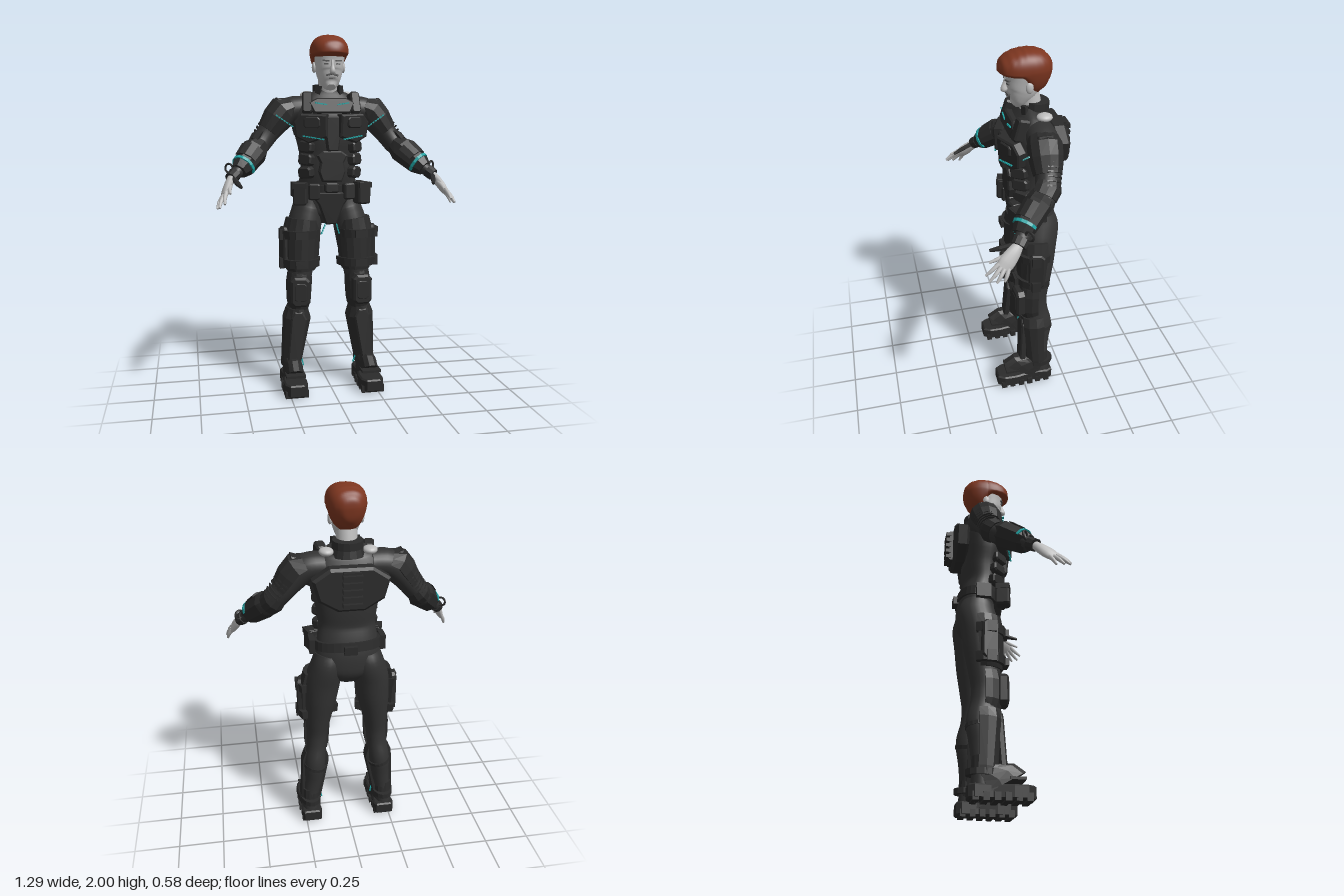
import * as THREE from 'three';
import { mergeGeometries } from 'three/addons/utils/BufferGeometryUtils.js';

const V = (x, y, z) => new THREE.Vector3(x, y, z);
const paint = (name, color) => Object.assign(new THREE.MeshStandardMaterial({ color }), { name });

// Sweep of elliptical sections [x, y, z, sideRadius, frontRadius]; angle 90 faces the front.
// An arc below 360 degrees makes a shell that closes inside the limb.
function loft(stations, { n = 24, p = 2, from = 0, to = 360, smooth = true, steps = 4 } = {}) {
  let st = stations;
  if (smooth) {
    const c = new THREE.CatmullRomCurve3(st.map(s => V(s[0], s[1], s[2])));
    const r = new THREE.CatmullRomCurve3(st.map(s => V(s[3], s[4], 0)));
    const m = (st.length - 1) * steps;
    st = Array.from({ length: m + 1 }, (_, i) => {
      const a = c.getPoint(i / m), b = r.getPoint(i / m);
      return [a.x, a.y, a.z, b.x, b.y];
    });
  }
  const pts = st.map(s => V(s[0], s[1], s[2])), full = to - from >= 360;
  const k = full ? n : n + 1, pos = [], idx = [];
  const pw = v => Math.sign(v) * Math.abs(v) ** (2 / p);
  const rings = st.map((s, i) => {
    const t = pts[Math.min(i + 1, pts.length - 1)].clone().sub(pts[Math.max(i - 1, 0)]).normalize();
    const u = t.clone().cross(V(0, 0, 1)).normalize(), v = u.clone().cross(t);
    return Array.from({ length: k }, (_, j) => {
      const a = THREE.MathUtils.degToRad(from + (to - from) * j / n);
      return pts[i].clone().addScaledVector(u, s[3] * pw(Math.cos(a))).addScaledVector(v, s[4] * pw(Math.sin(a)));
    });
  });
  rings.flat().forEach(q => pos.push(q.x, q.y, q.z));
  for (let i = 0; i < rings.length - 1; i++) for (let j = 0; j < k; j++) {
    const a = i * k + j, b = i * k + (j + 1) % k;
    idx.push(a, a + k, b, b, a + k, b + k);
  }
  [0, rings.length - 1].forEach((e, end) => {
    const base = pos.length / 3, mid = V(0, 0, 0);
    rings[e].forEach(q => { pos.push(q.x, q.y, q.z); mid.addScaledVector(q, 1 / k); });
    pos.push(mid.x, mid.y, mid.z);
    for (let j = 0; j < k; j++) {
      const a = base + j, b = base + (j + 1) % k;
      idx.push(base + k, end ? b : a, end ? a : b);
    }
  });
  let g = new THREE.BufferGeometry();
  g.setAttribute('position', new THREE.Float32BufferAttribute(pos, 3));
  g.setIndex(idx);
  if (!smooth) g = g.toNonIndexed();
  g.computeVertexNormals();
  return g;
}
const shell = (st, from, to, n = 8) => loft(st, { n, from, to, smooth: false });

// Bevelled armour plate from an outline, facing +z before it is turned.
function plate(outline, depth, [x, y, z], [rx, ry, rz] = [0, 0, 0], bevel = 0.008) {
  const g = new THREE.ExtrudeGeometry(new THREE.Shape(outline.map(q => new THREE.Vector2(...q))),
    { depth, bevelThickness: bevel, bevelSize: bevel, bevelOffset: -bevel, bevelSegments: 1 });
  return g.rotateX(rx).rotateY(ry).rotateZ(rz).translate(x, y, z);
}
const oct = (w, h, c) => [[-w + c, -h], [w - c, -h], [w, -h + c], [w, h - c], [w - c, h], [-w + c, h], [-w, h - c], [-w, -h + c]];
const box = (w, h, d, x, y, z, ry = 0, rz = 0) => new THREE.BoxGeometry(w, h, d).rotateZ(rz).rotateY(ry).translate(x, y, z);
const ball = (rx, ry, rz, x, y, z) => new THREE.SphereGeometry(1, 20, 14).scale(rx, ry, rz).translate(x, y, z);

// Row of small glowing dashes between two points.
function dashes(a, b, n, ry = 0) {
  const rz = Math.atan2(b[1] - a[1], b[0] - a[0]);
  return mergeGeometries(Array.from({ length: n }, (_, i) => {
    const q = V(...a).lerp(V(...b), i / (n - 1));
    return box(0.012, 0.007, 0.009, q.x, q.y, q.z, ry, rz);
  }));
}
function mirrored(geo) {
  const g = geo.index ? geo.toNonIndexed() : geo.clone();
  g.scale(-1, 1, 1);
  for (const at of Object.values(g.attributes)) for (let i = 0; i < at.count; i += 3) for (let c = 0; c < at.itemSize; c++) {
    const t = at.getComponent(i + 1, c);
    at.setComponent(i + 1, c, at.getComponent(i + 2, c));
    at.setComponent(i + 2, c, t);
  }
  return g;
}

export function createModel() {
  const root = new THREE.Group();
  root.name = 'armouredFigure';
  const suit = paint('suit', 0x333333), armour = paint('armour', 0x2b2b2b), skin = paint('skin', 0xbdbdbd);
  const hairMat = paint('hair', 0x7d3620), glow = paint('glow', 0x1fa3a3), dark = paint('facialHair', 0x5c5c5c);
  const add = (name, g, m) => { const o = new THREE.Mesh(g, m); o.name = name; root.add(o); };
  const pair = (name, g, m) => { add(name + 'Left', g, m); add(name + 'Right', mirrored(g), m); };

  // Body suit
  add('torso', loft([[0, .95, -.11, .07, .06], [0, 1.02, -.115, .16, .10], [0, 1.10, -.11, .175, .105], [0, 1.18, -.1, .165, .1],
    [0, 1.26, -.08, .155, .1], [0, 1.36, -.08, .165, .11], [0, 1.46, -.075, .19, .12], [0, 1.55, -.08, .2, .12],
    [0, 1.62, -.09, .19, .1], [0, 1.665, -.1, .14, .075], [0, 1.69, -.11, .07, .06]], { n: 32, p: 2.2 }), suit);
  pair('arm', loft([[.12, 1.60, -.1, .07, .08], [.21, 1.59, -.1, .075, .08], [.28, 1.54, -.095, .075, .075], [.34, 1.465, -.09, .062, .065],
    [.39, 1.40, -.065, .057, .06], [.47, 1.32, .03, .048, .05], [.52, 1.27, .08, .034, .038], [.56, 1.235, .115, .026, .032]]), suit);
  pair('leg', loft([[.222, .06, -.1, .045, .055], [.218, .16, -.1, .045, .05], [.2, .28, -.095, .055, .065], [.19, .4, -.095, .062, .082],
    [.178, .5, -.08, .058, .075], [.172, .58, -.075, .06, .075], [.165, .68, -.08, .072, .085], [.15, .82, -.09, .09, .1],
    [.135, .94, -.1, .097, .105], [.112, 1.04, -.115, .088, .105], [.1, 1.1, -.11, .08, .09]]), suit);

  // Head and neck
  add('neck', loft([[0, 1.6, -.1, .06, .06], [0, 1.7, -.085, .055, .058], [0, 1.79, -.065, .056, .06]]), skin);
  add('head', loft([[0, 1.715, .005, .024, .022], [0, 1.735, -.014, .048, .046], [0, 1.77, -.03, .064, .07], [0, 1.8, -.04, .073, .083],
    [0, 1.84, -.045, .079, .09], [0, 1.88, -.05, .085, .1], [0, 1.92, -.05, .085, .1], [0, 1.96, -.05, .07, .08], [0, 1.98, -.05, .03, .04]], { n: 32, p: 2.3 }), skin);
  add('nose', loft([[0, 1.79, .046, .012, .012], [0, 1.8, .05, .016, .02], [0, 1.83, .046, .009, .013], [0, 1.86, .042, .008, .008]], { n: 12 }), skin);
  pair('ear', ball(.012, .03, .02, .082, 1.825, -.06), skin);
  pair('brow', box(.036, .007, .012, .035, 1.855, .041, .3, .08), dark);
  pair('eye', box(.024, .007, .008, .034, 1.838, .04, .3), dark);
  pair('moustache', box(.036, .009, .012, .016, 1.782, .038, .3, -.25), dark);
  add('mouth', box(.034, .004, .008, 0, 1.764, .037), dark);

  // Swept hair: full at the crown, low at the nape, with fine combed ridges
  const hair = new THREE.SphereGeometry(1, 48, 40), hp = hair.attributes.position;
  for (let i = 0; i < hp.count; i++) {
    const d = V().fromBufferAttribute(hp, i);
    const f = (Math.abs(d.x) ** 2.5 + Math.abs(d.y) ** 2.5 + Math.abs(d.z) ** 2.5) ** (-1 / 2.5);
    d.multiplyScalar(f * (1 + .01 * Math.sin(d.z * 26 + d.x * 2)));
    const low = Math.max(0, -d.y), back = 1 - THREE.MathUtils.smoothstep(d.z, -.35, .25);
    const ht = d.y > 0 ? .1 : .03 + .105 * back;
    hp.setXYZ(i, d.x * .102 * (1 - .2 * low * back), 1.9 + d.y * ht - .015 * Math.max(0, d.z) * Math.max(0, d.y), -.052 + d.z * .138 * (1 - .12 * low));
  }
  hair.computeVertexNormals();
  add('hair', hair, hairMat);

  // Collar, bare shoulder patches and vest
  add('collar', loft([[0, 1.65, -.11, .095, .08], [0, 1.69, -.112, .082, .07], [0, 1.73, -.115, .08, .068]], { smooth: false, n: 16 }), armour);
  pair('collarTab', box(.03, .06, .02, .062, 1.695, -.04, .6, .1), armour);
  pair('shoulderPatch', ball(.038, .022, .042, .112, 1.676, -.13), skin);
  pair('chestPlate', plate([[-.085, .07], [.06, .075], [.1, .03], [.09, -.05], [.02, -.085], [-.085, -.05]].reverse(), .04, [.1, 1.5, .024], [.08, .4, 0]), armour);
  pair('chestPanel', plate(oct(.045, .03, .012), .012, [.115, 1.525, .066], [0, .4, 0], .005), armour);
  pair('chestGlow', dashes([.06, 1.435, .088], [.16, 1.452, .055], 8, .35), glow);
  add('sternumPlate', plate([[-.03, -.1], [.03, -.1], [.048, .02], [.035, .09], [-.035, .09], [-.048, .02]], .035, [0, 1.47, .035]), armour);
  add('upperChestPlate', plate([[-.1, -.04], [.1, -.04], [.13, .02], [.08, .045], [-.08, .045], [-.13, .02]], .035, [0, 1.605, .0], [-.25, 0, 0]), armour);
  pair('collarGlow', dashes([.035, 1.622, .042], [.088, 1.63, .039], 5), glow);
  pair('shoulderStrap', plate(oct(.028, .06, .01), .05, [.125, 1.62, -.025], [-.3, .2, 0]), armour);
  pair('strapBuckle', box(.05, .02, .03, .125, 1.66, -.01, .2), armour);
  add('abdomenPlate', plate([[-.055, -.085], [.055, -.085], [.075, -.03], [.065, .02], [.085, .06], [.05, .085], [-.05, .085], [-.085, .06], [-.065, .02], [-.075, -.03]], .025, [0, 1.285, .018]), armour);
  for (let i = 0; i < 3; i++)
    pair('sidePlate' + i, plate(oct(.046, .032, .014), .03, [.125, 1.25 + i * .07, -.022 + i * .008], [0, .85, i ? 0.12 : -.1]), armour);

  // Back pack with ribbed spine
  add('backPlate', plate([[-.07, -.12], [.07, -.12], [.17, -.06], [.2, .05], [.11, .11], [-.11, .11], [-.2, .05], [-.17, -.06]], .05, [0, 1.51, -.185], [0, Math.PI, 0], .014), armour);
  pair('backWing', plate([[.06, -.085], [.13, -.05], [.15, .04], [.06, .08]], .014, [0, 1.51, -.227], [0, Math.PI, 0], .006).scale(-1, 1, 1).scale(-1, 1, 1), armour);
  add('spineBlock', box(.09, .19, .04, 0, 1.51, -.25), armour);
  for (let i = 0; i < 5; i++) add('spineRib' + i, box(.1, .022, .03, 0, 1.435 + i * .037, -.275), armour);

  // Belt, pouches and groin guard
  add('belt', loft([[0, 1.135, -.105, .182, .115], [0, 1.185, -.1, .18, .115]], { smooth: false, n: 28, p: 2.3 }), armour);
  add('buckle', plate(oct(.04, .028, .01), .025, [0, 1.165, .01]), armour);
  add('rearClip', box(.07, .045, .03, 0, 1.16, -.222), armour);
  pair('sidePouch', plate(oct(.038, .062, .01), .06, [.165, 1.135, -.01], [0, .3, 0]), armour);
  pair('sidePouchFlap', box(.078, .03, .075, .177, 1.18, .02, .3), armour);
  pair('hipPouch', box(.03, .08, .08, .192, 1.15, -.09), armour);
  pair('frontPouch', plate(oct(.032, .045, .008), .035, [.094, 1.145, .005], [0, .2, 0]), armour);
  add('groinGuard', plate([[-.03, -.09], [.03, -.09], [.07, .02], [.12, .09], [-.12, .09], [-.07, .02]], .03, [0, 1.05, -.012], [.08, 0, 0]), armour);
  pair('groinGlow', dashes([.05, .905, -.012], [.03, .965, .006], 5), glow);

  // Leg armour
  pair('thighPlate', shell([[.16, .69, -.075, .083, .09], [.16, .73, -.075, .1, .095], [.155, .9, -.085, .11, .108], [.145, .98, -.09, .098, .105]], -25, 170, 9), armour);
  for (const [i, y] of [.735, .9].entries()) {
    pair('thighStrap' + i, shell([[.163, y - .024, -.078, .112, .108], [.163, y + .024, -.078, .116, .113]], -35, 180, 10), armour);
    pair('strapClip' + i, box(.025, .06, .05, .272, y, -.06), armour);
    pair('strapPad' + i, box(.07, .04, .02, .17, y, .035), armour);
  }
  pair('thighSideBox', plate(oct(.045, .11, .02), .025, [.242, .83, -.07], [0, 1.35, 0]), armour);
  pair('kneeSleeve', shell([[.175, .475, -.078, .06, .078], [.175, .52, -.07, .07, .084], [.172, .62, -.07, .074, .087], [.168, .67, -.075, .07, .08]], -10, 190), armour);
  pair('kneePad', plate(oct(.055, .085, .022), .035, [.177, .578, -.004], [0, .08, 0], .012), armour);
  pair('kneePanel', plate(oct(.036, .055, .014), .012, [.178, .578, .028], [0, .08, 0], .006), armour);
  pair('shinGuard', shell([[.219, .12, -.09, .058, .065], [.216, .16, -.088, .062, .07], [.186, .41, -.08, .083, .092], [.185, .47, -.08, .062, .085]], -25, 205), armour);
  pair('shinRidge', plate([[-.015, -.16], [.055, -.16], [.03, .12], [.01, .155], [-.035, .155], [-.06, .11]], .02, [.198, .3, -.01], [-.06, .05, 0]), armour);
  pair('calfStrap', loft([[.192, .365, -.095, .066, .085], [.188, .385, -.095, .068, .086]], { smooth: false, n: 18 }), armour);

  // Boots: thick lugged sole, sloping upper and ankle straps
  const sole = [[-.045, -.17], [.045, -.17], [.06, -.14], [.05, -.05], [.066, .05], [.064, .12], [.04, .16], [-.04, .16], [-.064, .12], [-.066, .05], [-.05, -.05], [-.06, -.14]];
  pair('sole', plate(sole.map(([x, z]) => [x, -z]).reverse(), .055, [.218, .018, 0], [-Math.PI / 2, 0, 0], .008), armour);
  for (let i = 0; i < 6; i++) pair('soleLug' + i, box(i > 1 ? .13 : .115, .04, .03, .218, .022, -.135 + i * .052), armour);
  pair('bootUpper', loft([[.218, .075, -.01, .055, .15], [.218, .1, -.025, .055, .125], [.218, .125, -.065, .052, .09], [.218, .16, -.09, .05, .065], [.217, .22, -.092, .05, .058]], { n: 14, p: 2.4, smooth: false }), armour);
  pair('toeStrap', box(.11, .014, .08, .218, .112, .07), armour);
  pair('ankleStrap', loft([[.218, .125, -.095, .06, .085], [.218, .155, -.095, .06, .085]], { smooth: false, n: 14 }), armour);
  pair('ankleGlow', dashes([.15, .12, -.07], [.158, .15, -.065], 3), glow);

  // Arm armour
  pair('shoulderGuard', shell([[.205, 1.605, -.1, .06, .08], [.25, 1.585, -.095, .09, .092], [.285, 1.54, -.092, .088, .09], [.335, 1.475, -.088, .068, .075]], 60, 270, 7), armour);
  pair('shoulderFin', plate([[-.03, -.05], [.045, -.02], [.02, .06], [-.01, .05]], .07, [.27, 1.6, -.125]), armour);
  pair('shoulderGlow', dashes([.215, 1.505, .003], [.298, 1.562, -.002], 7), glow);
  for (let i = 0; i < 6; i++) {
    const t = i / 5, c = V(.3, 1.515, -.095).lerp(V(.37, 1.425, -.075), t), r = .08 - .01 * t;
    pair('armFin' + i, shell([[c.x, c.y, c.z, r, r], [c.x + .005, c.y - .006, c.z + .001, r, r]], 170, 270, 5), armour);
  }
  pair('elbowPad', shell([[.355, 1.445, -.085, .06, .065], [.375, 1.42, -.075, .07, .075], [.4, 1.39, -.05, .065, .07]], 120, 320, 7), armour);
  pair('forearmGuard', shell([[.39, 1.40, -.055, .056, .058], [.42, 1.37, -.02, .076, .07], [.49, 1.295, .065, .064, .062], [.515, 1.27, .09, .045, .046]], 0, 360, 8), armour);
  pair('forearmGlow', shell([[.483, 1.302, .058, .068, .066], [.492, 1.293, .067, .067, .065]], 20, 230, 8), glow);
  pair('forearmPanel', shell([[.43, 1.36, -.008, .08, .074], [.475, 1.31, .047, .073, .07]], 70, 180, 4), armour);
  pair('wristCuff', loft([[.535, 1.258, .092, .036, .042], [.56, 1.235, .115, .034, .04]], { smooth: false, n: 10 }), armour);
  pair('wristLoop', new THREE.TorusGeometry(.024, .006, 6, 16).rotateY(.7).translate(.565, 1.285, .06), armour);
  pair('wristBlade', loft([[.545, 1.235, .14, .014, .014], [.53, 1.215, .2, .014, .012], [.515, 1.2, .245, .008, .008]], { smooth: false, n: 6 }), armour);

  // Hands
  pair('palm', loft([[.555, 1.24, .11, .02, .025], [.572, 1.21, .14, .022, .036], [.59, 1.175, .175, .02, .042], [.603, 1.15, .2, .014, .036]], { n: 14 }), skin);
  const fingers = [[[.59, 1.172, .215], [.602, 1.12, .285]], [[.602, 1.158, .208], [.628, 1.1, .272]],
    [[.608, 1.15, .193], [.638, 1.093, .238]], [[.608, 1.148, .172], [.634, 1.09, .198]], [[.565, 1.205, .165], [.572, 1.17, .26]]];
  fingers.forEach(([a, b], i) => {
    const m = a.map((q, k) => (q + b[k]) / 2 + (k === 0 ? .004 : 0));
    pair(i === 4 ? 'thumb' : 'finger' + i, loft([[...a, .012, .012], [...m, .0105, .0105], [...b, .006, .006]], { n: 8 }), skin);
  });
  return root;
}
